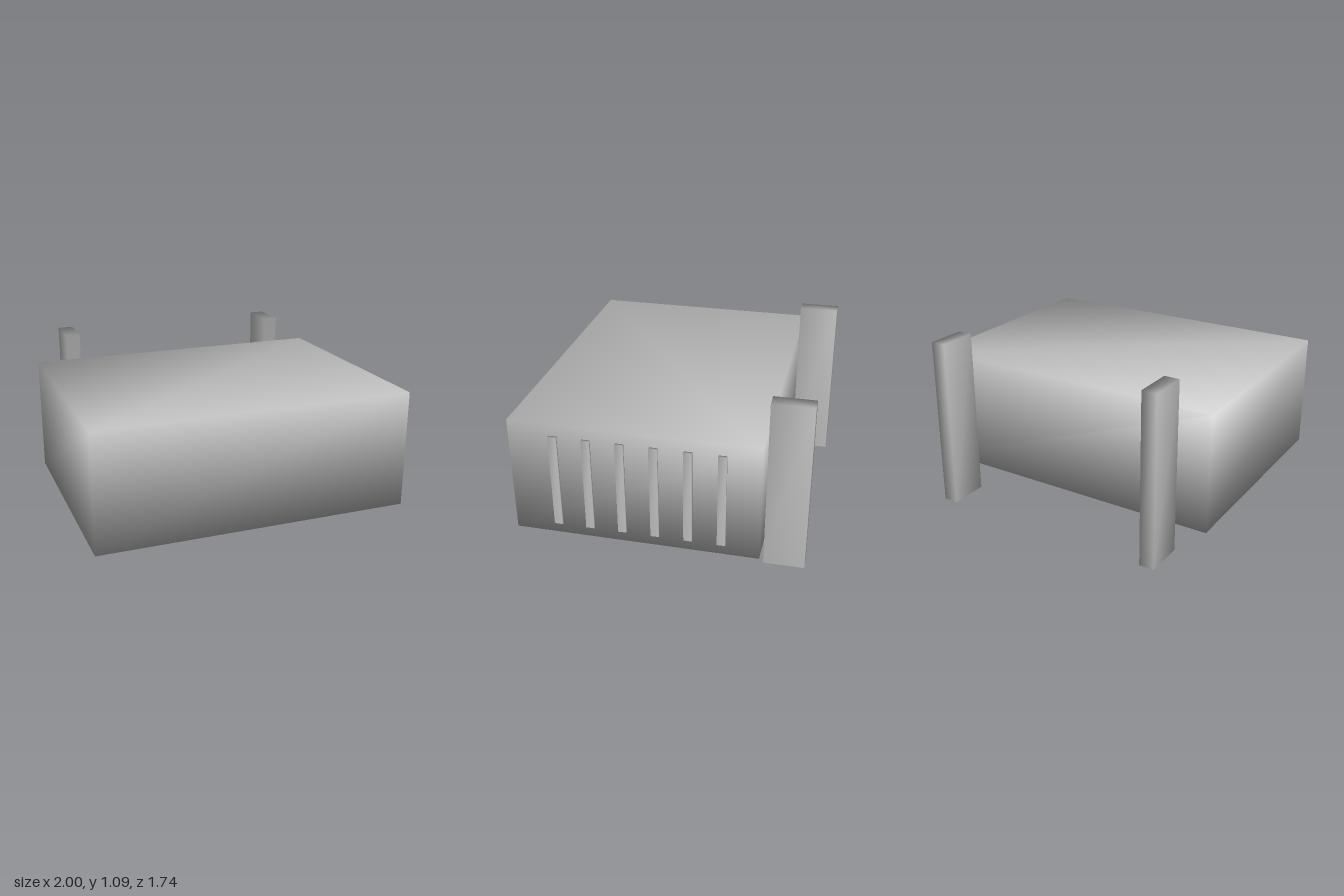
import * as THREE from 'three';
import { mergeVertices } from 'three/addons/utils/BufferGeometryUtils.js';

// Box from its extents, with corners welded so the normals blend smoothly
function smoothBox(name, [x0, x1], [y0, y1], [z0, z1], material) {
  let geometry = new THREE.BoxGeometry(x1 - x0, y1 - y0, z1 - z0);
  geometry.deleteAttribute('normal');
  geometry.deleteAttribute('uv');
  geometry = mergeVertices(geometry);
  geometry.computeVertexNormals();
  const mesh = new THREE.Mesh(geometry, material);
  mesh.name = name;
  mesh.position.set((x0 + x1) / 2, (y0 + y1) / 2, (z0 + z1) / 2);
  return mesh;
}

export function createModel() {
  const model = new THREE.Group();
  model.name = 'ventedBox';
  const grey = new THREE.MeshStandardMaterial({ color: 0xc0c0c0 });
  grey.name = 'light grey';

  // Main housing
  model.add(smoothBox('housing', [-1, 0.983], [0.18, 0.92], [-0.62, 0.87], grey));

  // Two upright mounting posts behind the housing
  for (const x of [-0.8, 0.685]) {
    model.add(smoothBox('mountingPost', [x, x + 0.096], [0, 1.09], [-0.87, -0.62], grey));
  }

  // Row of vent slats on the left side
  const vents = new THREE.Group();
  vents.name = 'ventSlats';
  for (let i = 0; i < 6; i++) {
    const z = 0.596 - i * 0.1985;
    vents.add(smoothBox('ventSlat', [0.983, 1], [0.25, 0.845], [z - 0.025, z + 0.025], grey));
  }
  model.add(vents);

  // Square plate under the housing
  model.add(smoothBox('bottomPlate', [0.587, 0.932], [0.153, 0.18], [-0.52, -0.12], grey));

  return model;
}
